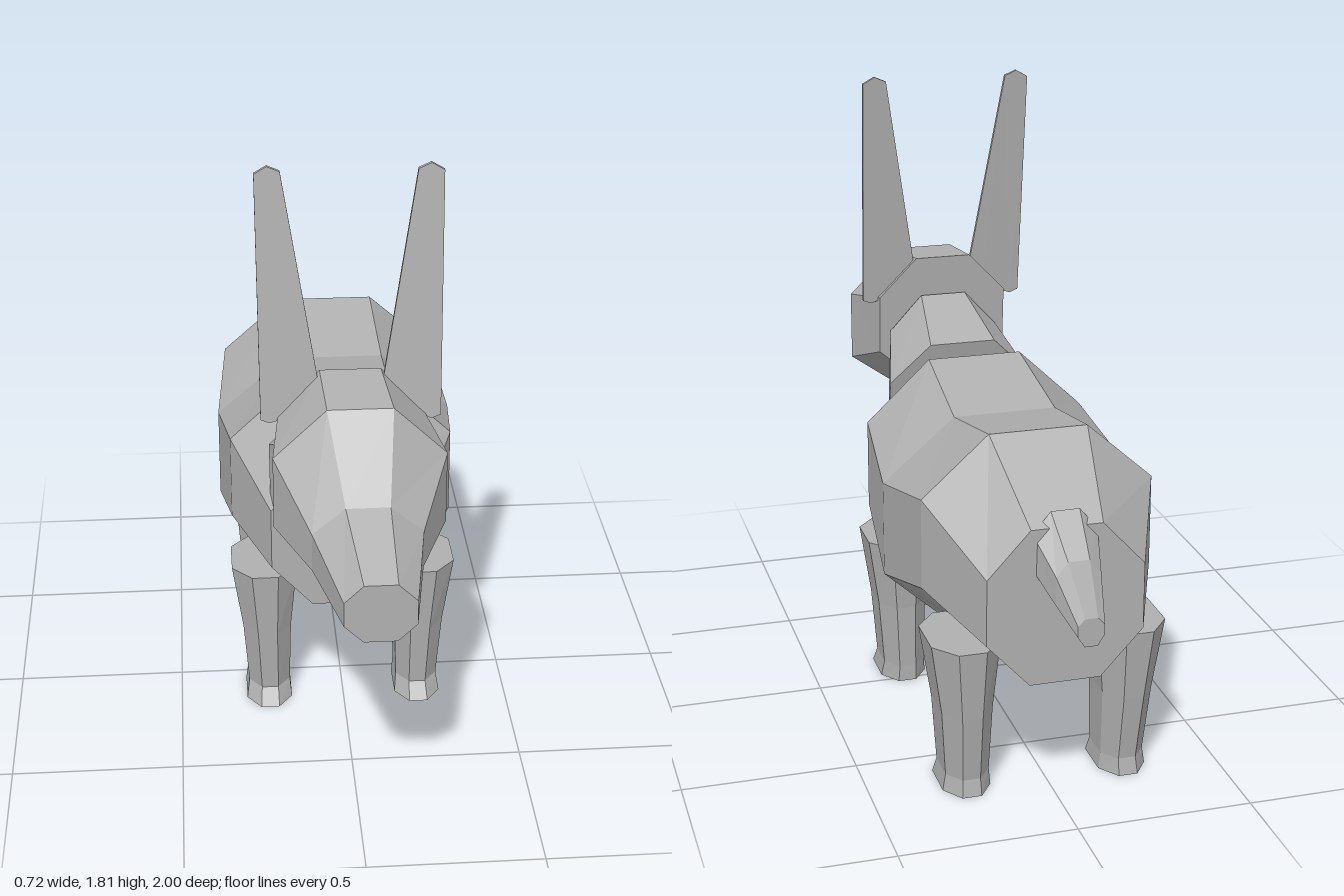
import * as THREE from 'three';

const grey = new THREE.MeshStandardMaterial({ color: 0xb0b0b0, flatShading: true });

// Closed loft through rings of equal length, wound anticlockwise about the direction of travel
function loft(name, rings) {
  const pos = [];
  const n = rings[0].length;
  const tri = (...ps) => ps.forEach((p) => pos.push(...p));
  for (let i = 0; i < rings.length - 1; i++) {
    const a = rings[i], b = rings[i + 1];
    for (let j = 0; j < n; j++) {
      const k = (j + 1) % n;
      tri(a[j], a[k], b[k]);
      tri(a[j], b[k], b[j]);
    }
  }
  const first = rings[0], last = rings[rings.length - 1];
  for (let j = 1; j < n - 1; j++) {
    tri(first[0], first[j + 1], first[j]);
    tri(last[0], last[j], last[j + 1]);
  }
  const geo = new THREE.BufferGeometry();
  geo.setAttribute('position', new THREE.Float32BufferAttribute(pos, 3));
  geo.computeVertexNormals();
  const mesh = new THREE.Mesh(geo, grey);
  mesh.name = name;
  return mesh;
}

// Octagon facing z; zTop and zBot tilt it
function section(zTop, zBot, [top, upper, lower, bottom], w, f, cx = 0) {
  const pt = (x, y) => [cx + x, y, zBot + (zTop - zBot) * (y - bottom) / (top - bottom)];
  return [pt(f, bottom), pt(w, lower), pt(w, upper), pt(f, top),
    pt(-f, top), pt(-w, upper), pt(-w, lower), pt(-f, bottom)];
}

// Leg from horizontal octagons: [y, zMin, zMax, xMin, xMax]
function leg(name, levels, side) {
  const rings = levels.map(([y, z0, z1, x0, x1]) => {
    const cz = (z0 + z1) / 2, hz = (z1 - z0) / 2;
    const cx = side * (x0 + x1) / 2, hx = (x1 - x0) / 2;
    const a = hz * 0.5, b = hx * 0.4;
    return [[a, -hx], [hz, -b], [hz, b], [a, hx], [-a, hx], [-hz, b], [-hz, -b], [-a, -hx]]
      .map(([z, x]) => [cx + x, y, cz + z]);
  });
  return loft(name, rings);
}

// Thin, slightly backward leaning ear
function ear(name, side) {
  const outline = [[0.09, 1.21], [0.13, 1.12], [0.225, 1.09], [0.25, 1.1],
    [0.255, 1.79], [0.22, 1.81], [0.185, 1.795]];
  const shape = new THREE.Shape(outline.map(([x, y]) => new THREE.Vector2(side * x, y)));
  const geo = new THREE.ExtrudeGeometry(shape, { depth: 0.012, bevelEnabled: false });
  const p = geo.attributes.position;
  for (let i = 0; i < p.count; i++) {
    p.setZ(i, p.getZ(i) + 0.415 - (p.getY(i) - 1.1) * 0.105);
  }
  geo.computeVertexNormals();
  const mesh = new THREE.Mesh(geo, grey);
  mesh.name = name;
  return mesh;
}

export function createModel() {
  const model = new THREE.Group();
  model.name = 'animal';

  // Barrel with a dipped middle
  model.add(loft('body', [
    section(-0.87, -0.87, [0.83, 0.7, 0.51, 0.38], 0.22, 0.1),
    section(-0.61, -0.61, [1.01, 0.84, 0.58, 0.4], 0.33, 0.14),
    section(-0.29, -0.29, [0.95, 0.77, 0.49, 0.3], 0.36, 0.15),
    section(0.03, 0.03, [1.02, 0.84, 0.58, 0.4], 0.33, 0.14),
    section(0.265, 0.265, [0.85, 0.72, 0.53, 0.4], 0.22, 0.1),
  ]));

  // Neck rising from the shoulders into the head
  model.add(loft('neck', [
    section(0.16, 0.27, [1.02, 0.9, 0.71, 0.57], 0.22, 0.1),
    section(0.39, 0.4, [1.11, 1.0, 0.84, 0.73], 0.17, 0.07),
    section(0.47, 0.47, [1.08, 1.0, 0.9, 0.79], 0.15, 0.065),
  ]));

  // Head tapering to a blunt muzzle, turned a little aside
  model.add(loft('head', [
    section(0.39, 0.42, [1.23, 1.11, 0.93, 0.83], 0.2, 0.085, 0),
    section(0.6, 0.6, [1.21, 1.07, 0.86, 0.755], 0.237, 0.09, 0.012),
    section(0.765, 0.765, [1.0, 0.925, 0.815, 0.745], 0.15, 0.06, 0.02),
    section(0.995, 0.995, [0.9, 0.85, 0.78, 0.73], 0.097, 0.045, 0.035),
  ]));

  // Short drooping tail
  model.add(loft('tail', [
    section(-1.0, -1.0, [0.62, 0.6, 0.57, 0.54], 0.037, 0.018, -0.027),
    section(-0.94, -0.94, [0.76, 0.72, 0.64, 0.6], 0.062, 0.03, -0.01),
    section(-0.85, -0.86, [0.87, 0.81, 0.71, 0.65], 0.09, 0.04, 0),
  ]));

  // Paired ears and legs
  const front = [[0, -0.02, 0.21, 0.16, 0.298], [0.05, -0.02, 0.175, 0.165, 0.29],
    [0.25, -0.03, 0.19, 0.16, 0.305], [0.46, -0.052, 0.206, 0.14, 0.336]];
  const back = [[0, -0.76, -0.525, 0.16, 0.298], [0.05, -0.75, -0.555, 0.165, 0.29],
    [0.25, -0.78, -0.548, 0.16, 0.305], [0.46, -0.805, -0.52, 0.14, 0.336]];
  for (const [label, side] of [['left', 1], ['right', -1]]) {
    model.add(ear(`${label}Ear`, side));
    model.add(leg(`${label}FrontLeg`, front, side));
    model.add(leg(`${label}BackLeg`, back, side));
  }
  return model;
}
